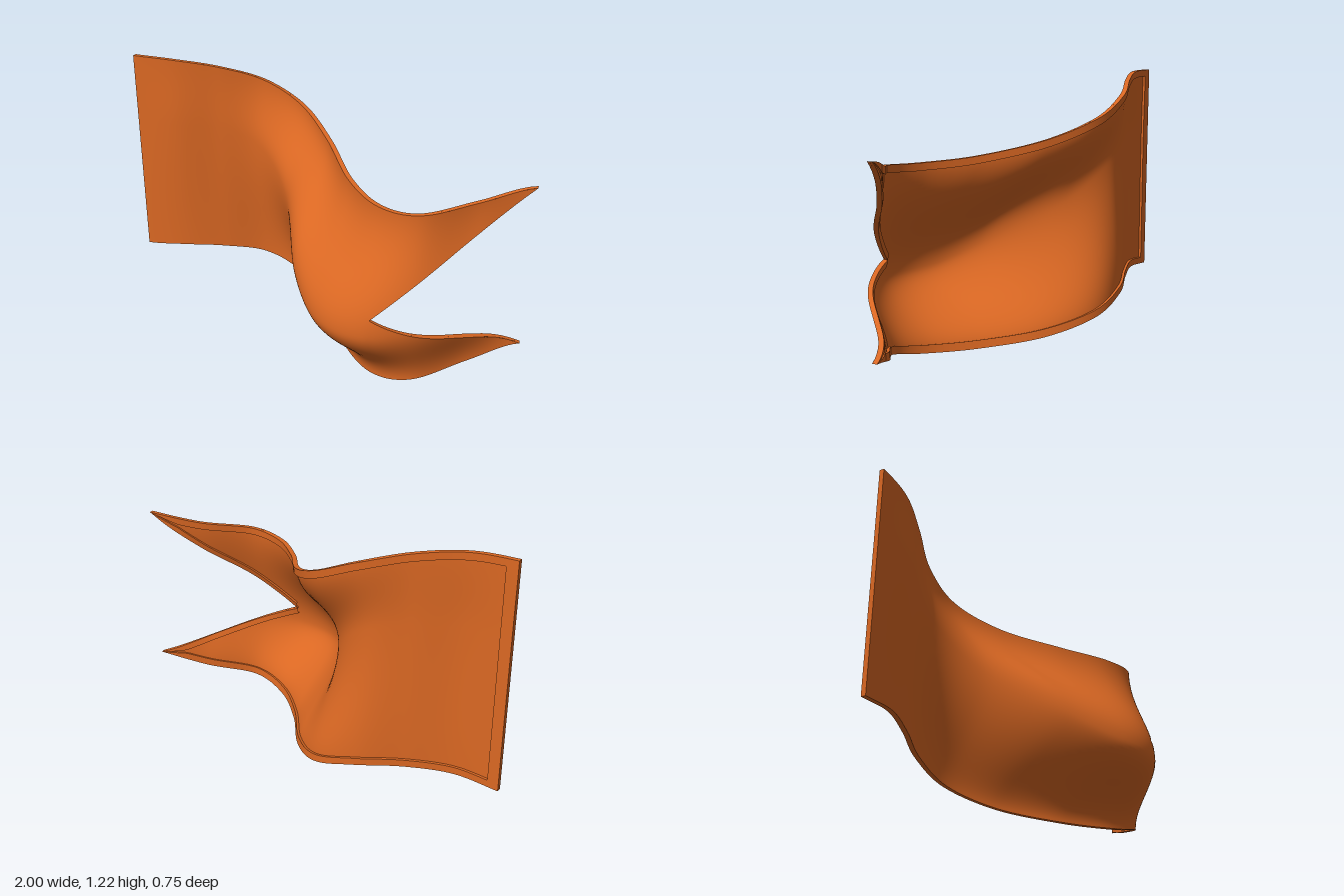
import * as THREE from 'three';
import { mergeGeometries, mergeVertices, toCreasedNormals } from 'three/addons/utils/BufferGeometryUtils.js';

const THICK = 0.01;   // cloth thickness
const HEM = 0.022;    // depth of the folded hem behind the front face
const NOTCH = { x: 0.45, y: 0.42 };

// Smooth curve through values spaced 0.2 apart from x = -1 to x = 1
function curve(p) {
  const at = (i) => p[Math.min(p.length - 1, Math.max(0, i))];
  return (x) => {
    const s = THREE.MathUtils.clamp((x + 1) * 5, 0, 10);
    const i = Math.min(9, Math.floor(s)), t = s - i;
    const m0 = (at(i + 1) - at(i - 1)) / 2, m1 = (at(i + 2) - at(i)) / 2;
    const d = at(i + 1) - at(i);
    return at(i) + t * (m0 + t * (3 * d - 2 * m0 - m1 + t * (m0 + m1 - 2 * d)));
  };
}

// Outline heights, and depth along the borders and along the middle bulge
const top = curve([1.225, 1.22, 1.19, 1.13, 1.04, 0.95, 0.885, 0.865, 0.875, 0.905, 0.955]);
const bottom = curve([0.2, 0.22, 0.218, 0.19, 0.12, 0.05, 0.007, 0.008, 0.05, 0.11, 0.18]);
const edgeZ = curve([-0.15, -0.18, -0.26, -0.345, -0.34, -0.2, 0.02, 0.17, 0.19, 0.03, -0.1]);
const midZ = curve([-0.15, -0.17, -0.25, -0.29, -0.17, 0.15, 0.33, 0.375, 0.3, 0.13, -0.1]);

// Depth of the waving cloth
function depth(x, y) {
  const v = THREE.MathUtils.clamp((y - bottom(x)) / (top(x) - bottom(x)), 0, 1);
  const c = 0.38 + 0.3 * THREE.MathUtils.smoothstep(-x, -0.2, 0.5);
  const a = v < c ? v / c : (1 - v) / (1 - c);
  const bulge = Math.sin(a * Math.PI / 2) ** 2;
  return THREE.MathUtils.lerp(edgeZ(x), midZ(x), bulge);
}

// Point on the cloth, moved back along its normal
function clothPoint(x, y, back) {
  const e = 0.005;
  const n = new THREE.Vector3(
    -(depth(x + e, y) - depth(x - e, y)) / (2 * e),
    -(depth(x, y + e) - depth(x, y - e)) / (2 * e), 1).normalize();
  return new THREE.Vector3(x, y, depth(x, y)).addScaledVector(n, -back);
}

// Grid of quads from a rule
function grid(nu, nv, point, flip) {
  const pos = [], idx = [];
  for (let i = 0; i <= nu; i++) {
    for (let j = 0; j <= nv; j++) pos.push(...point(i / nu, j / nv).toArray());
  }
  for (let i = 0; i < nu; i++) {
    for (let j = 0; j < nv; j++) {
      const a = i * (nv + 1) + j, b = a + nv + 1;
      if (flip) idx.push(a, a + 1, b, b, a + 1, b + 1);
      else idx.push(a, b, a + 1, b, b + 1, a + 1);
    }
  }
  const g = new THREE.BufferGeometry();
  g.setAttribute('position', new THREE.Float32BufferAttribute(pos, 3));
  g.setIndex(idx);
  return g;
}

// Line dividing the halves, which opens into the swallowtail past the notch
const notchV = (NOTCH.y - bottom(NOTCH.x)) / (top(NOTCH.x) - bottom(NOTCH.x));
function divide(x, upper) {
  if (x <= NOTCH.x) return THREE.MathUtils.lerp(bottom(x), top(x), notchV);
  return THREE.MathUtils.lerp(NOTCH.y, upper ? top(1) : bottom(1), (x - NOTCH.x) / (1 - NOTCH.x));
}

function sheet(back, flip) {
  const halves = [false, true].map((upper) => grid(100, 32, (u, v) => {
    const x = u <= 0.75 ? -1 + (NOTCH.x + 1) * u / 0.75 : NOTCH.x + (1 - NOTCH.x) * (u - 0.75) / 0.25;
    const d = divide(x, upper);
    const y = upper ? THREE.MathUtils.lerp(d, top(x), v) : THREE.MathUtils.lerp(bottom(x), d, v);
    return clothPoint(x, y, back);
  }, flip));
  const g = mergeVertices(mergeGeometries(halves));
  g.computeVertexNormals();
  return g;
}

// Folded strip: outer rim, back face and inner step
function hem(outer, inner, n) {
  return toCreasedNormals(grid(n, 3, (u, v) => {
    const k = Math.round(v * 3);
    const [x, y] = k < 2 ? outer(u) : inner(u);
    return clothPoint(x, y, [0, HEM, HEM, THICK * 0.8][k]);
  }, false), 0.7);
}

export function createModel() {
  const group = new THREE.Group();
  const cloth = new THREE.MeshStandardMaterial({ color: 0xdb6823, side: THREE.DoubleSide });
  cloth.name = 'orange cloth';
  const add = (name, geometry) => {
    const mesh = new THREE.Mesh(geometry, cloth);
    mesh.name = name;
    group.add(mesh);
  };

  add('bannerFront', sheet(0, false));
  add('bannerBack', sheet(THICK, true));

  // Hems along the long borders and the swallowtail, narrowing to the tips
  const width = (x, upper) => Math.min(0.032,
    0.4 * Math.abs((upper ? top(x) : bottom(x)) - divide(x, upper)));
  for (const upper of [true, false]) {
    const side = upper ? 'upper' : 'lower', s = upper ? -1 : 1;
    const border = upper ? top : bottom;
    const along = (u) => -1 + 2 * u;
    add(side + 'Hem', hem(
      (u) => [along(u), border(along(u))],
      (u) => [along(u), border(along(u)) + s * width(along(u), upper)], 100));
    const tail = (u) => THREE.MathUtils.lerp(NOTCH.x + 1e-4, 1, u);
    add(side + 'TailHem', hem(
      (u) => [tail(u), divide(tail(u), upper)],
      (u) => [tail(u), divide(tail(u), upper) - s * width(tail(u), upper)], 40));
  }

  // Wide hem at the straight end
  const rise = (x, u) => THREE.MathUtils.lerp(bottom(x), top(x), u);
  add('poleHem', hem((u) => [-1, rise(-1, u)], (u) => [-0.95, rise(-0.95, u)], 30));
  return group;
}
